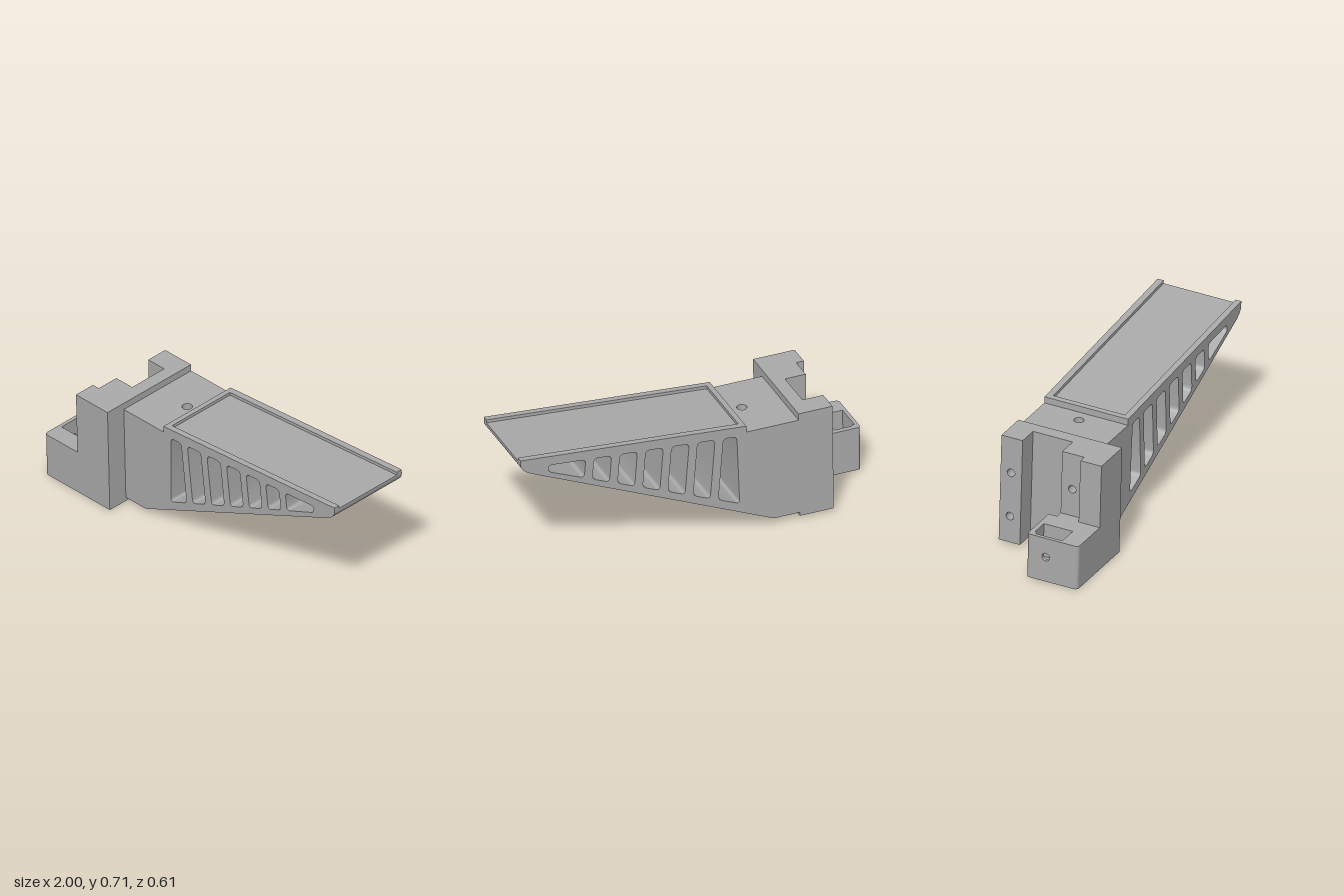
import * as THREE from 'three';
import { toCreasedNormals } from 'three/addons/utils/BufferGeometryUtils.js';

const grey = new THREE.MeshStandardMaterial({ color: 0xaaaaaa });
grey.name = 'grey plastic';

// Shape from points, corners optionally rounded
function outline(points, r = 0, Type = THREE.Shape) {
  const p = points.map(([x, y]) => new THREE.Vector2(x, y));
  if (!r) return new Type(p);
  const s = new Type(), n = p.length;
  p.forEach((c, i) => {
    const toward = (q) => c.clone().lerp(q, Math.min(0.45, r / c.distanceTo(q)));
    const a = toward(p[(i + n - 1) % n]), b = toward(p[(i + 1) % n]);
    if (i) s.lineTo(a.x, a.y); else s.moveTo(a.x, a.y);
    s.quadraticCurveTo(c.x, c.y, b.x, b.y);
  });
  s.closePath();
  return s;
}
const rect = (x0, x1, y0, y1) => outline([[x0, y0], [x1, y0], [x1, y1], [x0, y1]]);
const round = (x, y, r) => new THREE.Path().absarc(x, y, r, 0, Math.PI * 2, true);
const extrude = (shape, depth) =>
  new THREE.ExtrudeGeometry(shape, { depth, bevelEnabled: false, curveSegments: 10 });

export function createModel() {
  const group = new THREE.Group();
  group.name = 'bracket';
  const add = (name, geo) => {
    const m = new THREE.Mesh(toCreasedNormals(geo, 0.6), grey);
    m.name = name;
    group.add(m);
    return m;
  };
  const box = (name, x0, x1, y0, y1, z0, z1) =>
    add(name, new THREE.BoxGeometry(x1 - x0, y1 - y0, z1 - z0)
      .translate((x0 + x1) / 2, (y0 + y1) / 2, (z0 + z1) / 2));
  // Block with bolt holes running along x
  const drilled = (name, x0, x1, y0, y1, z0, z1, holes) => {
    const s = rect(-z1, -z0, y0, y1);
    holes.forEach(([y, z]) => s.holes.push(round(-z, y, 0.022)));
    add(name, extrude(s, x1 - x0).rotateY(Math.PI / 2).translate(x0, 0, 0));
  };

  const zBack = -0.305, zFront = 0.174, zBlock = 0.289, H = 0.603;
  const under = (x) => 0.02 + 0.44 * (x + 0.39);      // sloping underside
  const rimTop = (x) => 0.60 + 0.0763 * (x + 0.245);  // raised rim
  const floor = (x) => rimTop(x) - 0.017;             // tray floor
  const cellTop = (x) => 0.565 + 0.079 * x;
  const cellLow = (x) => 0.238 + 0.42 * x;

  // Tapered arm with ribbed openings
  const arm = new THREE.Shape();
  arm.moveTo(-0.245, under(-0.245));
  arm.lineTo(0.93, under(0.93));
  arm.quadraticCurveTo(1, 0.63, 1, 0.672);
  arm.lineTo(1, floor(1));
  arm.lineTo(-0.245, floor(-0.245));
  arm.closePath();
  const lean = 0.09;
  const foot = (x) => (x + lean * (cellTop(x) - 0.238)) / (1 + lean * 0.42);
  for (let i = 0; i < 7; i++) {
    const rib = -0.118 + 0.1426 * i;
    const tl = i ? rib - 0.1426 + 0.046 : -0.192;
    const bl = i ? foot(tl) : -0.203;
    const tr = i < 6 ? rib : 0.848;
    const br = i < 6 ? foot(rib) : 0.848;
    arm.holes.push(outline([[tl, cellTop(tl)], [tr, cellTop(tr)],
      [br, cellLow(br)], [bl, cellLow(bl)]], 0.025, THREE.Path));
  }
  add('arm', extrude(arm, zFront - zBack).translate(0, 0, zBack));

  // Rims around the tray, open at the tip
  const rim = (name, x0, x1, z0, z1) => add(name, extrude(outline([[x0, floor(x0)], [x1, floor(x1)],
    [x1, rimTop(x1)], [x0, rimTop(x0)]]), z1 - z0).translate(0, 0, z0));
  rim('frontRim', -0.245, 1, 0.141, zFront);
  rim('backRim', -0.245, 1, zBack, -0.27);
  rim('innerRim', -0.245, -0.215, -0.27, 0.141);

  // Arm root, with a vertical screw hole through its sloping part
  box('armRoot', -0.535, -0.39, 0.02, 0.565, zBack, zFront);
  const neckShape = rect(-0.39, -0.245, -zFront, -zBack);
  neckShape.holes.push(round(-0.32, 0.068, 0.027));
  const neck = extrude(neckShape, 0.565).rotateX(-Math.PI / 2);
  const pos = neck.attributes.position;
  for (let i = 0; i < pos.count; i++) {
    if (pos.getY(i) < 0.1) pos.setY(i, under(pos.getX(i)));
  }
  neck.computeVertexNormals();
  add('armNeck', neck);

  // C-shaped mounting block
  const zHole = 0.105;
  box('blockSpine', -0.605, -0.533, 0, H, zBack, zBlock);
  drilled('backJaw', -0.72, -0.605, 0, H, zBack, -0.184, [[0.4, -0.245], [0.15, -0.245]]);
  drilled('frontJaw', -0.72, -0.605, 0, H, 0.043, zBlock, [[0.4, zHole]]);
  box('jawLip', -0.762, -0.72, 0, H, 0.168, zBlock);
  box('jawStep', -0.765, -0.72, 0, 0.248, 0.043, 0.168);

  // Foot with an open pocket and a bolt hole in its end wall
  const top = 0.248, z0 = -0.004, r = 0.02;
  drilled('footEndWall', -1, -0.98, 0, top, z0 + r, zBlock - r, [[0.14, zHole]]);
  [z0 + r, zBlock - r].forEach((z) => add('footCorner',
    new THREE.CylinderGeometry(r, r, top, 24).translate(-0.98, top / 2, z)));
  box('footBackWall', -0.98, -0.865, 0, top, z0, 0.023);
  box('footFrontWall', -0.98, -0.865, 0, top, 0.188, zBlock);
  box('footInnerWall', -0.865, -0.762, 0, top, z0, zBlock);
  box('pocketFloor', -0.98, -0.865, 0, 0.06, 0.023, 0.188);

  // The whole part sits slightly tilted
  group.rotation.x = 0.027;
  group.position.y = 0.01;
  const root = new THREE.Group();
  root.name = 'mountingBracket';
  root.add(group);
  return root;
}
